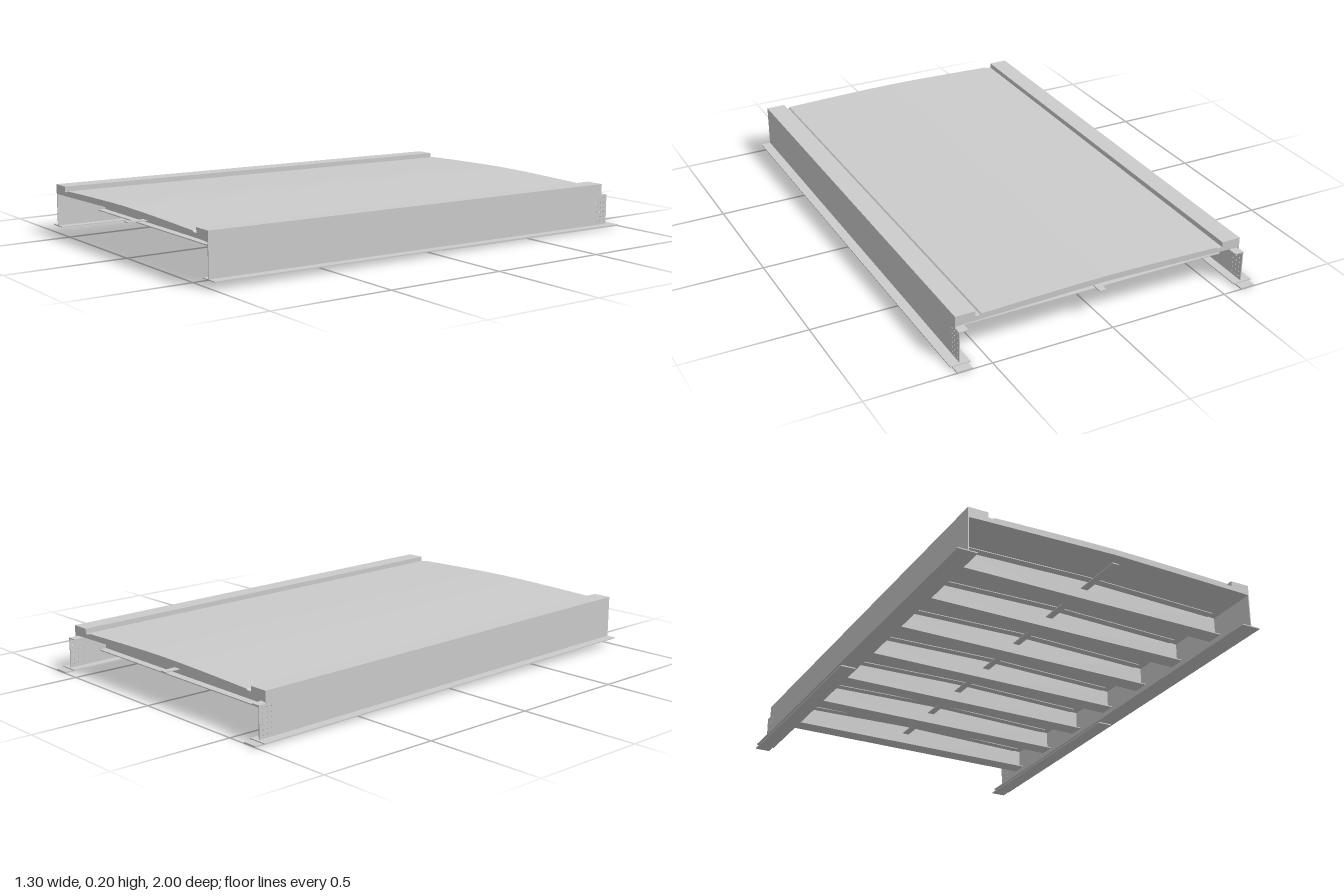
import * as THREE from 'three';

const SLOPE = 0.0115;            // deck falls gently towards the back
const FRONT = 1, BACK = -0.925;
const material = new THREE.MeshStandardMaterial({ color: 0xcccccc, flatShading: true });

// Shear a geometry so that heights given at the front end follow the gradient
function incline(geometry) {
  const p = geometry.attributes.position;
  for (let i = 0; i < p.count; i++) p.setY(i, p.getY(i) + SLOPE * (p.getZ(i) - 1));
  geometry.computeVertexNormals();
  return geometry;
}

function add(parent, name, geometry) {
  const mesh = new THREE.Mesh(incline(geometry), material);
  mesh.name = name;
  parent.add(mesh);
}

// Box from its limits
function block(parent, name, x0, x1, y0, y1, z0, z1) {
  const g = new THREE.BoxGeometry(x1 - x0, y1 - y0, z1 - z0);
  add(parent, name, g.translate((x0 + x1) / 2, (y0 + y1) / 2, (z0 + z1) / 2));
}

// Symmetric cross-section from right-half points, extruded along z
function section(half, z0, z1) {
  const mirrored = half.slice().reverse().filter(([x]) => x > 0).map(([x, y]) => [-x, y]);
  const shape = new THREE.Shape([...half, ...mirrored].map(([x, y]) => new THREE.Vector2(x, y)));
  const g = new THREE.ExtrudeGeometry(shape, { depth: z1 - z0, bevelEnabled: false });
  return g.translate(0, 0, z0);
}

// Girder web with a notched, drilled splice end; drawn in (z, y)
function webGeometry(outerX) {
  const shape = new THREE.Shape([[FRONT, 0.031], [FRONT, 0.164], [BACK, 0.164], [BACK, 0.158],
    [-0.955, 0.158], [-0.955, 0.031]].map(([z, y]) => new THREE.Vector2(z, y)));
  for (let row = 0; row < 6; row++) {
    for (let col = 0; col < 3; col++) {
      const hole = new THREE.Path();
      hole.absarc(-0.9 - col * 0.02, 0.045 + row * 0.02, 0.003, 0, Math.PI * 2, true);
      shape.holes.push(hole);
    }
  }
  const g = new THREE.ExtrudeGeometry(shape, { depth: 0.004, bevelEnabled: false, curveSegments: 4 });
  return g.rotateY(-Math.PI / 2).translate(outerX, 0, 0);
}

export function createModel() {
  const model = new THREE.Group();
  model.name = 'bridgeSpan';

  // Cambered deck with a kerb and a shallow gutter along each edge
  add(model, 'deckAndKerbs', section([
    [0, 0.177], [0.575, 0.165], [0.61, 0.163], [0.61, 0.205], [0.53, 0.205],
    [0.53, 0.184], [0.51, 0.184], [0.505, 0.189], [0.3, 0.195], [0.12, 0.199], [0, 0.2],
  ], BACK, FRONT));

  // Cross beams: web, bottom flange and a cambered top flange under the deck
  const beams = new THREE.Group();
  beams.name = 'crossBeams';
  model.add(beams);
  for (let i = 0; i < 7; i++) {
    const z = 0.78 - i * 0.26;
    add(beams, 'beamWeb', section([[0, 0.08], [0.606, 0.08], [0.606, 0.165], [0, 0.179]],
      z - 0.003, z + 0.003));
    add(beams, 'beamTopFlange', section([[0, 0.174], [0.575, 0.162], [0.575, 0.166], [0, 0.178]],
      z - 0.035, z + 0.035));
    block(beams, 'beamBottomFlange', -0.606, 0.606, 0.077, 0.081, z - 0.035, z + 0.035);
  }

  // Slim tie running through the beams on the centre line
  block(model, 'centreTie', -0.014, 0.014, 0.138, 0.142, BACK, FRONT);

  // Main girders
  for (const side of [-1, 1]) {
    const girder = new THREE.Group();
    girder.name = side > 0 ? 'leftGirder' : 'rightGirder';
    model.add(girder);
    const c = side * 0.61;
    add(girder, 'web', webGeometry(side > 0 ? 0.61 : -0.606));
    block(girder, 'bottomFlange', c - 0.04, c + 0.04, 0.028, 0.032, -0.965, FRONT);
    block(girder, 'coverPlate', c - 0.031, c + 0.031, 0.023, 0.0285, -1, -0.03);
    // Short ledge on top of the web's splice end
    const s = side * 0.59;
    block(girder, 'spliceLedge', s - 0.018, s + 0.018, 0.154, 0.158, -0.955, -0.89);
  }
  return model;
}
